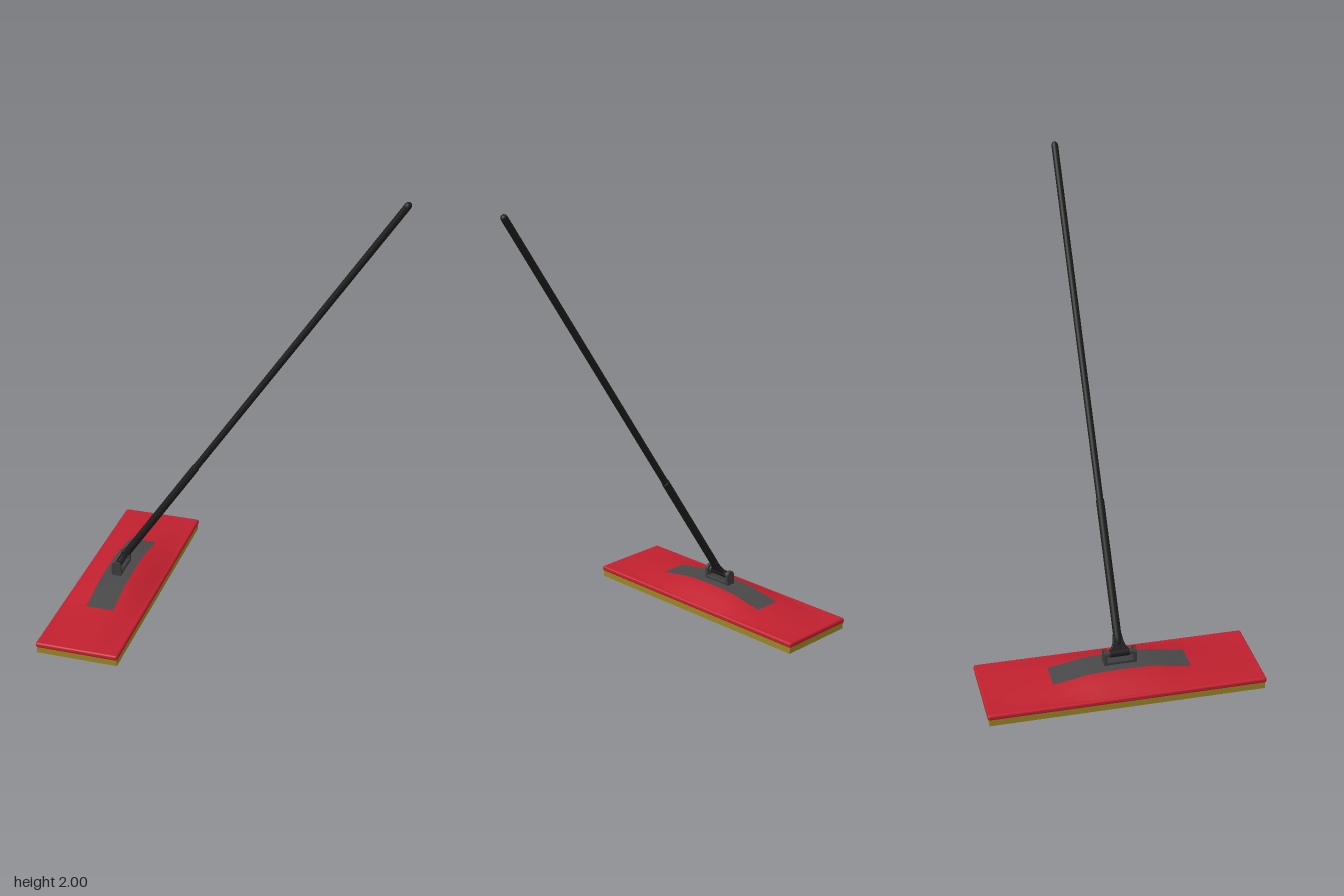
import * as THREE from 'three';
import { RoundedBoxGeometry } from 'three/addons/geometries/RoundedBoxGeometry.js';

const HEAD_X = -0.5375;
const paint = (color, side = THREE.FrontSide) => new THREE.MeshStandardMaterial({ color, side });
const red = paint(0xc0202e), redSheet = paint(0xc0202e, THREE.DoubleSide);
const plateGrey = paint(0x484848, THREE.DoubleSide);
const bracketGrey = paint(0x3c3c3c), black = paint(0x1c1c1c), olive = paint(0x9a8526);

function add(parent, name, geometry, material, x = 0, y = 0, z = 0) {
  const mesh = new THREE.Mesh(geometry, material);
  mesh.name = name;
  mesh.position.set(x, y, z);
  parent.add(mesh);
  return mesh;
}

// Piecewise-linear lookup through [position, value] pairs
function lookup(points, t) {
  for (let i = 1; i < points.length; i++) {
    const [a, va] = points[i - 1], [b, vb] = points[i];
    if (t <= b) return va + (vb - va) * (t - a) / (b - a);
  }
  return points[points.length - 1][1];
}

// Height of the domed deck: a ridge along z, sloping to the long edges
const RIDGE = [[0, 0.106], [0.08, 0.104], [0.15, 0.1], [0.22, 0.086], [0.3, 0.073], [0.45, 0.061], [0.59, 0.05]];
const ACROSS = [[0, 1], [0.0625, 1], [0.185, 0]];
const deckHeight = (x, z) => 0.048 + (lookup(RIDGE, Math.abs(z)) - 0.048) * lookup(ACROSS, Math.abs(x));

// Sheet following the deck through the given columns (x) and rows (z)
function deckSheet(columns, rows, lift) {
  const position = [], index = [], n = columns.length;
  rows.forEach((z, r) => columns.forEach((x, c) => {
    position.push(x, deckHeight(x, z) + lift, z);
    if (r && c) {
      const d = r * n + c, b = d - n;
      index.push(b - 1, d - 1, b, b, d - 1, d);
    }
  }));
  const geometry = new THREE.BufferGeometry();
  geometry.setAttribute('position', new THREE.Float32BufferAttribute(position, 3));
  geometry.setIndex(index);
  geometry.computeVertexNormals();
  return geometry;
}

const mirrored = (list) => [...list.slice(1).reverse().map((v) => -v), ...list];

function createHead() {
  const head = new THREE.Group();
  head.name = 'head';
  add(head, 'scrubPad', new THREE.BoxGeometry(0.366, 0.034, 1.178), olive, HEAD_X, 0.017, 0);
  add(head, 'headRim', new RoundedBoxGeometry(0.375, 0.024, 1.19, 3, 0.009), red, HEAD_X, 0.04, 0);
  const columns = mirrored([0, 0.0625, 0.12, 0.18]);
  add(head, 'domedDeck', deckSheet(columns, mirrored([0, 0.08, 0.15, 0.22, 0.3, 0.45, 0.588]), 0), redSheet, HEAD_X);
  add(head, 'topPlate', deckSheet([-0.0625, 0, 0.0625], mirrored([0, 0.08, 0.15, 0.22, 0.298]), 0.0015), plateGrey, HEAD_X);
  return head;
}

function createBracket() {
  const bracket = new THREE.Group();
  bracket.name = 'bracket';
  bracket.position.set(-0.539, 0, 0);
  add(bracket, 'bracketBase', new RoundedBoxGeometry(0.044, 0.018, 0.14, 2, 0.004), bracketGrey, 0, 0.112, 0);

  // Upright ears with round tops
  const ear = new THREE.Shape();
  ear.moveTo(-0.022, 0.105);
  ear.lineTo(0.022, 0.105);
  ear.lineTo(0.022, 0.15);
  ear.absarc(0, 0.15, 0.022, 0, Math.PI, false);
  ear.closePath();
  const earGeometry = new THREE.ExtrudeGeometry(ear, { depth: 0.014, bevelEnabled: false, curveSegments: 12 });
  earGeometry.translate(0, 0, -0.007);
  for (const side of [-1, 1]) add(bracket, 'bracketEar', earGeometry, bracketGrey, 0, 0, side * 0.063);

  const pin = new THREE.CylinderGeometry(0.012, 0.012, 0.13, 16).rotateX(Math.PI / 2);
  add(bracket, 'pivotPin', pin, bracketGrey, 0, 0.149, 0);
  return bracket;
}

function createHandle() {
  const handle = new THREE.Group();
  handle.name = 'handle';
  handle.position.set(-0.539, 0.149, 0);
  handle.rotation.z = -0.595;

  // Barrel turning on the pin
  const barrel = new THREE.CylinderGeometry(0.016, 0.016, 0.084, 16).rotateX(Math.PI / 2);
  add(handle, 'pivotBarrel', barrel, black);

  // Flared neck, wide at the pin and narrowing into the sleeve
  const neck = new THREE.Shape();
  neck.moveTo(-0.04, 0);
  neck.lineTo(0.04, 0);
  neck.lineTo(0.04, 0.012);
  neck.quadraticCurveTo(0.019, 0.03, 0.017, 0.075);
  neck.lineTo(-0.017, 0.075);
  neck.quadraticCurveTo(-0.019, 0.03, -0.04, 0.012);
  neck.closePath();
  const neckGeometry = new THREE.ExtrudeGeometry(neck, {
    depth: 0.014, bevelEnabled: true, bevelSize: 0.002, bevelThickness: 0.002, bevelSegments: 2, curveSegments: 8,
  });
  neckGeometry.translate(0, 0, -0.007).rotateY(Math.PI / 2);
  add(handle, 'neck', neckGeometry, black);

  // Lower sleeve and long pole with a rounded tip
  const turned = (points) => new THREE.LatheGeometry(points.map(([r, y]) => new THREE.Vector2(r, y)), 24);
  add(handle, 'lowerSleeve', turned([
    [0, 0.03], [0.009, 0.03], [0.014, 0.045], [0.0175, 0.065], [0.0175, 0.648], [0.0175, 0.648], [0.0145, 0.65],
  ]), black);
  add(handle, 'pole', turned([
    [0.0148, 0.6], [0.0148, 2.21], [0.0148, 2.21], [0.0135, 2.221], [0.009, 2.227], [0, 2.229],
  ]), black);
  return handle;
}

export function createModel() {
  const model = new THREE.Group();
  model.name = 'floorScrubber';
  model.add(createHead(), createBracket(), createHandle());
  return model;
}
